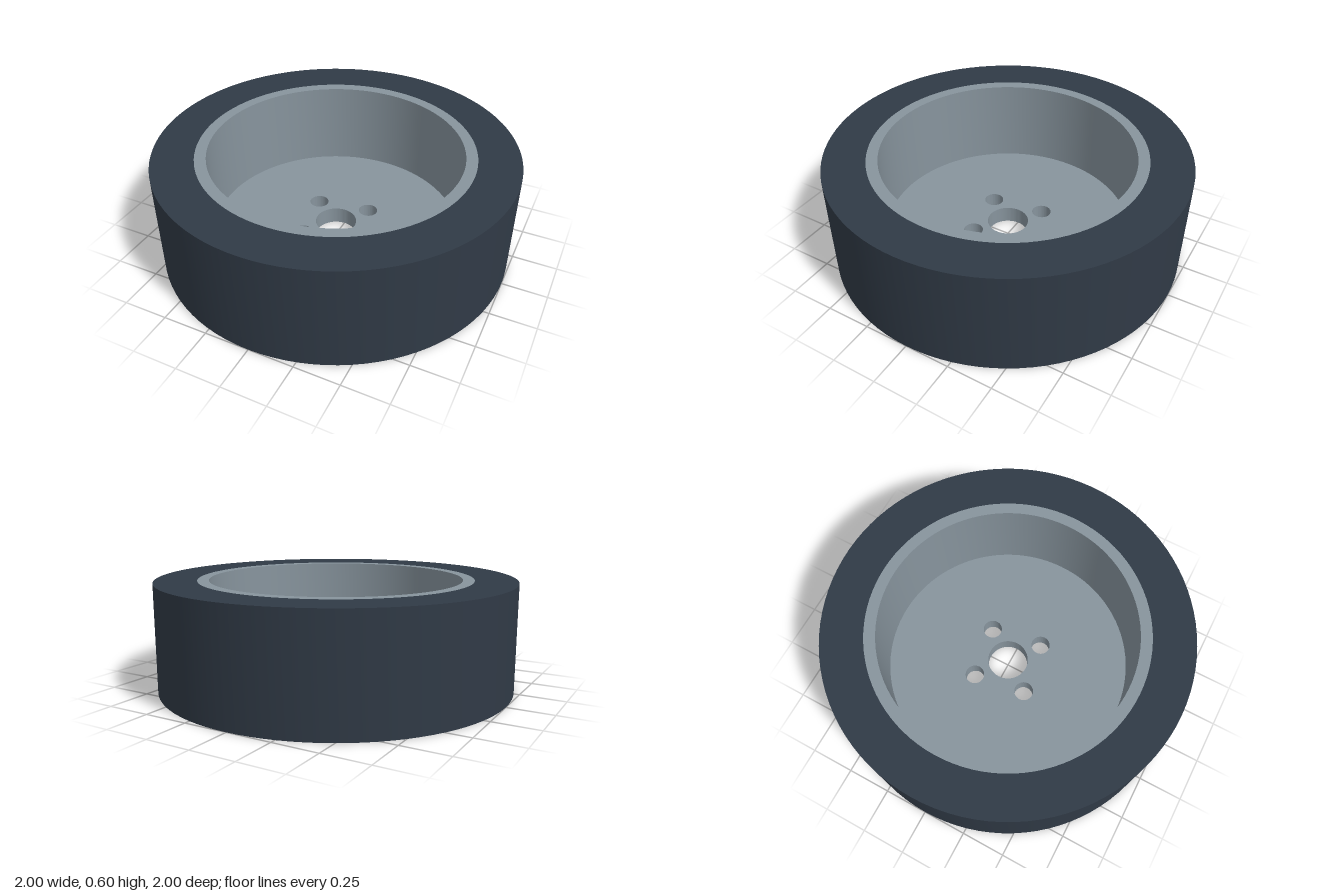
import * as THREE from 'three';
import { toCreasedNormals } from 'three/addons/utils/BufferGeometryUtils.js';

const tyreMaterial = new THREE.MeshStandardMaterial({ color: 0x303a46 });
tyreMaterial.name = 'dark rubber';
const rimMaterial = new THREE.MeshStandardMaterial({ color: 0x87949d });
rimMaterial.name = 'grey metal';

const TYRE_RADIUS = 1, RIM_RADIUS = 0.767, BARREL_RADIUS = 0.704;
const HEIGHT = 0.6, FLOOR = 0.1;

// Upright disc with round holes, each hole given as [x, y, radius]
function disc(name, radius, holes, bottom, top, material) {
  const shape = new THREE.Shape().absarc(0, 0, radius, 0, Math.PI * 2, false);
  for (const [x, y, r] of holes) {
    shape.holes.push(new THREE.Path().absarc(x, y, r, 0, Math.PI * 2, true));
  }
  const extruded = new THREE.ExtrudeGeometry(shape, {
    depth: top - bottom, bevelEnabled: false, curveSegments: 48,
  });
  extruded.rotateX(-Math.PI / 2);
  const mesh = new THREE.Mesh(toCreasedNormals(extruded, 0.5), material);
  mesh.name = name;
  mesh.position.y = bottom;
  return mesh;
}

export function createModel() {
  const wheel = new THREE.Group();
  wheel.name = 'wheel';

  // Axle bore and four bolt holes
  const holes = [[0, 0, 0.118]];
  for (let i = 0; i < 4; i++) {
    const angle = THREE.MathUtils.degToRad(53.3 + i * 90);
    holes.push([Math.cos(angle) * 0.217, Math.sin(angle) * 0.217, 0.055]);
  }

  wheel.add(
    disc('tyre', TYRE_RADIUS, [[0, 0, RIM_RADIUS]], 0, HEIGHT, tyreMaterial),
    disc('rimBarrel', RIM_RADIUS, [[0, 0, BARREL_RADIUS]], FLOOR, HEIGHT, rimMaterial),
    disc('rimFloor', RIM_RADIUS, holes, 0, FLOOR, rimMaterial),
  );
  return wheel;
}
